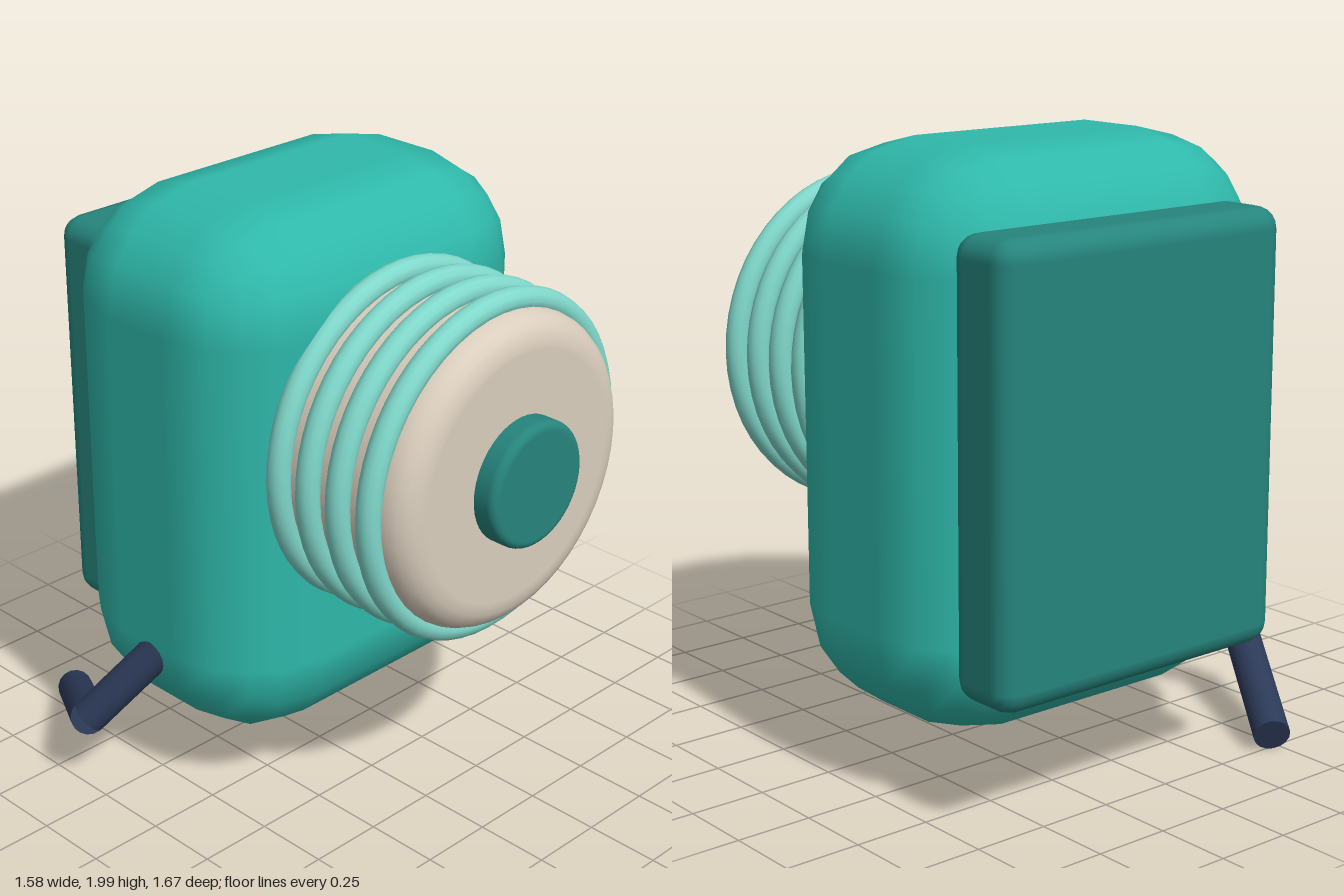
import * as THREE from 'three';
import { RoundedBoxGeometry } from 'three/addons/geometries/RoundedBoxGeometry.js';

export function createModel() {
  const model = new THREE.Group();
  model.name = 'camera';

  const material = (name, color) => {
    const m = new THREE.MeshStandardMaterial({ color });
    m.name = name;
    return m;
  };
  const teal = material('teal', 0x2fb8aa);
  const darkTeal = material('dark teal', 0x26857d);
  const mint = material('mint', 0x80d8cb);
  const cream = material('cream', 0xdacebd);
  const navy = material('navy', 0x2c3a58);

  const add = (name, geometry, mat, x = 0, y = 0, z = 0) => {
    const mesh = new THREE.Mesh(geometry, mat);
    mesh.name = name;
    mesh.position.set(x, y, z);
    model.add(mesh);
    return mesh;
  };

  // Disc along z with a rounded front rim; its back lies at z = 0
  const roundedDisc = (radius, depth, bevel) => {
    const profile = [new THREE.Vector2(radius, 0), new THREE.Vector2(radius, (depth - bevel) * 0.97)];
    const steps = 5;
    for (let i = 0; i <= steps; i++) {
      const a = (i / steps) * Math.PI / 2;
      profile.push(new THREE.Vector2(
        radius - bevel + bevel * Math.cos(a),
        depth - bevel + bevel * Math.sin(a)
      ));
    }
    profile.push(new THREE.Vector2((radius - bevel) * 0.97, depth), new THREE.Vector2(0, depth));
    return new THREE.LatheGeometry(profile, 48).rotateX(Math.PI / 2);
  };

  // Rod between two points
  const rod = (name, from, to, radius) => {
    const dir = to.clone().sub(from);
    const mid = from.clone().add(to).multiplyScalar(0.5);
    const mesh = add(name, new THREE.CylinderGeometry(radius, radius, dir.length(), 16), navy, mid.x, mid.y, mid.z);
    mesh.quaternion.setFromUnitVectors(new THREE.Vector3(0, 1, 0), dir.normalize());
  };

  // Body and back panel
  add('body', new RoundedBoxGeometry(1.38, 1.8, 0.94, 2, 0.35), teal, 0.1, 1.1, -0.2);
  add('backPanel', new RoundedBoxGeometry(1.1, 1.38, 0.255, 2, 0.07), darkTeal, 0.17, 1.105, -0.708);

  // Lens barrel, its ribs and the front cap
  const lensX = 0.1, lensY = 1.243;
  add('lensBarrel', roundedDisc(0.515, 0.755, 0.095), cream, lensX, lensY, 0);
  for (let i = 0; i < 4; i++) {
    add('lensRing', new THREE.TorusGeometry(0.53, 0.04, 12, 56), mint, lensX, lensY, 0.26 + i * 0.125);
  }
  add('lensCap', roundedDisc(0.205, 0.135, 0.025), darkTeal, lensX, lensY, 0.7);

  // Bent crank at the lower right side
  const elbow = new THREE.Vector3(-0.738, 0.272, -0.335);
  rod('crankArm', new THREE.Vector3(-0.45, 0.64, -0.11), elbow, 0.06);
  rod('crankHandle', elbow, new THREE.Vector3(-0.45, 0.065, -0.775), 0.06);

  return model;
}
